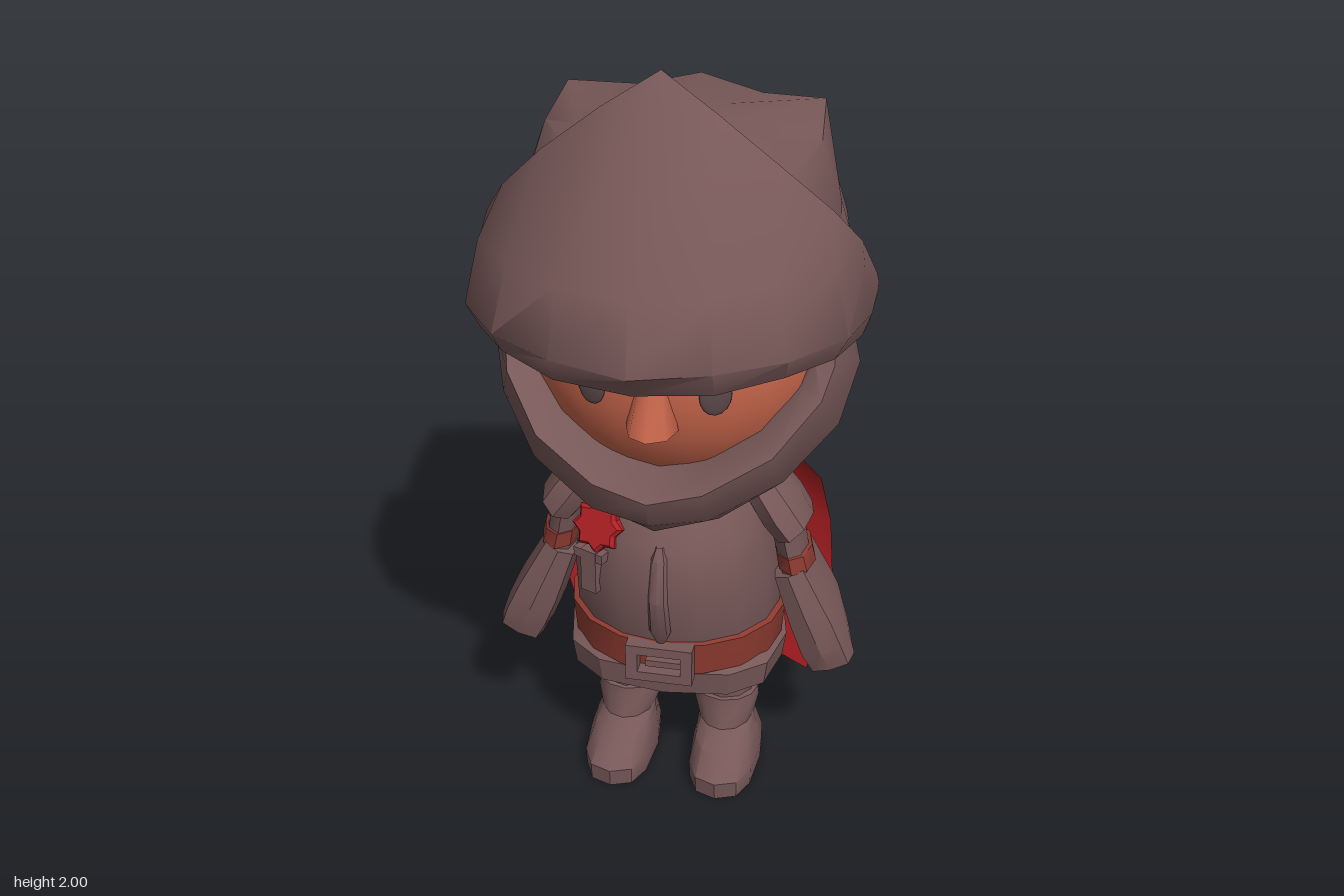
import * as THREE from 'three';
import { toCreasedNormals } from 'three/addons/utils/BufferGeometryUtils.js';

const mat = (name, color, side = THREE.DoubleSide) => {
  const m = new THREE.MeshStandardMaterial({ color, side });
  m.name = name;
  return m;
};

export function createModel() {
  const root = new THREE.Group();
  root.name = 'littleKnight';
  const armour = mat('armour', 0x785858);
  const skin = mat('skin', 0xc8664c);
  const leather = mat('leather', 0x8c3a30);
  const red = mat('red cloth', 0xb01f24);
  const dark = mat('eye', 0x5c484a);

  const add = (name, geo, material, x = 0, y = 0, z = 0) => {
    const m = new THREE.Mesh(geo, material);
    m.name = name;
    m.position.set(x, y, z);
    root.add(m);
    return m;
  };

  // Surface through rows of points, listed from bottom to top
  const grid = (rows, crease = 0.7) => {
    const n = rows[0].length, index = [];
    for (let i = 0; i < rows.length - 1; i++)
      for (let j = 0; j < n - 1; j++) {
        const a = i * n + j, b = a + 1, c = a + n, d = c + 1;
        index.push(a, b, d, a, d, c);
      }
    const g = new THREE.BufferGeometry();
    g.setAttribute('position', new THREE.Float32BufferAttribute(rows.flat(2), 3));
    g.setIndex(index);
    return toCreasedNormals(g, crease);
  };

  // Rings: [y, half width, half depth, x centre, z centre, front half depth, roundness]
  const loft = (rings, n = 16, crease = 0.7) => grid(rings.map(([y, rx, rz, xc = 0, zc = 0, rf = rz, p = 1]) =>
    Array.from({ length: n + 1 }, (_, j) => {
      const a = (j % n) / n * Math.PI * 2, s = Math.sin(a), c = Math.cos(a);
      return [xc + rx * Math.sign(s) * Math.abs(s) ** p, y,
        zc + (c > 0 ? rf : rz) * Math.sign(c) * Math.abs(c) ** p];
    })), crease);

  // Half rows running from the middle to +x, completed by mirroring
  const mirrored = rows => grid(rows.map(r => [...r.slice(1).reverse().map(([x, y, z]) => [-x, y, z]), ...r]), 0.8);

  // Helmet
  add('helmetDome', loft([
    [0.94, 0, 0, 0, -0.12], [0.96, 0.24, 0.2, 0, -0.13, 0.18], [1.04, 0.34, 0.28, 0, -0.14, 0.2],
    [1.22, 0.4, 0.34, 0, -0.14, 0.2], [1.39, 0.405, 0.37, 0, -0.14, 0.2], [1.54, 0.395, 0.345, 0, -0.14, 0.24],
    [1.64, 0.365, 0.31, 0, -0.14, 0.26], [1.74, 0.3, 0.21, 0, -0.12, 0.23], [1.78, 0, 0, 0, -0.05]], 20), armour);

  // Helmet top, rising to a point at the back and at each rear corner
  add('helmetCrown', mirrored([
    [[0, 1.87, 0.08], [0.02, 1.868, 0.08], [0.05, 1.86, 0.09], [0.09, 1.85, 0.1], [0.12, 1.84, 0.11]],
    [[0, 1.84, -0.15], [0.1, 1.825, -0.15], [0.18, 1.815, -0.12], [0.22, 1.81, 0], [0.22, 1.81, 0.12]],
    [[0, 1.815, -0.36], [0.15, 1.775, -0.36], [0.31, 1.8, -0.29], [0.325, 1.765, -0.12], [0.29, 1.77, 0.13]],
    [[0, 1.64, -0.46], [0.18, 1.62, -0.43], [0.335, 1.62, -0.3], [0.375, 1.62, -0.12], [0.35, 1.62, 0.06]],
    [[0, 1.53, -0.475], [0.18, 1.53, -0.43], [0.33, 1.53, -0.29], [0.38, 1.53, -0.12], [0.36, 1.53, 0]]]), armour);

  // Raised visor with a peaked top
  add('visor', mirrored([
    [[0, 1.47, 0.2], [0.12, 1.47, 0.18], [0.24, 1.47, 0.14], [0.32, 1.46, 0.06], [0.38, 1.4, -0.04], [0.4, 1.38, -0.12]],
    [[0, 1.41, 0.43], [0.16, 1.41, 0.39], [0.28, 1.42, 0.31], [0.37, 1.39, 0.17], [0.42, 1.35, 0], [0.42, 1.34, -0.1]],
    [[0, 1.385, 0.46], [0.18, 1.39, 0.43], [0.32, 1.4, 0.34], [0.41, 1.38, 0.2], [0.45, 1.34, 0], [0.455, 1.32, -0.11]],
    [[0, 1.45, 0.51], [0.18, 1.46, 0.47], [0.33, 1.46, 0.38], [0.44, 1.44, 0.21], [0.47, 1.4, 0], [0.47, 1.39, -0.145]],
    [[0, 1.62, 0.475], [0.17, 1.62, 0.44], [0.3, 1.62, 0.345], [0.405, 1.6, 0.2], [0.45, 1.53, 0.03], [0.47, 1.41, -0.14]],
    [[0, 2, 0.12], [0.13, 1.915, 0.14], [0.27, 1.8, 0.13], [0.38, 1.68, 0.07], [0.44, 1.58, 0], [0.465, 1.44, -0.13]],
    [[0, 1.97, 0.06], [0.12, 1.87, 0.08], [0.25, 1.75, 0.1], [0.35, 1.65, 0.03], [0.4, 1.55, -0.04], [0.42, 1.43, -0.14]],
    [[0, 1.84, 0.09], [0.12, 1.8, 0.09], [0.22, 1.72, 0.07], [0.3, 1.63, 0.02], [0.36, 1.54, -0.06], [0.38, 1.43, -0.15]]]), armour);

  // Chin guard with a rolled rim
  add('chinGuard', mirrored([
    [[0, 0.95, 0], [0.12, 0.96, -0.02], [0.2, 0.99, -0.05], [0.3, 1.05, -0.1], [0.38, 1.2, -0.2], [0.38, 1.36, -0.2]],
    [[0, 0.88, 0.22], [0.15, 0.91, 0.18], [0.29, 0.98, 0.08], [0.39, 1.06, -0.04], [0.415, 1.2, -0.13], [0.405, 1.36, -0.14]],
    [[0, 0.94, 0.29], [0.14, 0.96, 0.27], [0.3, 1.03, 0.18], [0.41, 1.12, 0.04], [0.445, 1.25, -0.04], [0.415, 1.37, -0.06]],
    [[0, 1.01, 0.31], [0.13, 1.045, 0.3], [0.28, 1.12, 0.23], [0.375, 1.22, 0.12], [0.395, 1.28, 0.05], [0.39, 1.4, 0.01]],
    [[0, 1.03, 0.25], [0.12, 1.06, 0.23], [0.245, 1.135, 0.17], [0.325, 1.23, 0.08], [0.345, 1.29, 0.04], [0.345, 1.41, 0]],
    [[0, 1.02, 0.1], [0.11, 1.05, 0.08], [0.22, 1.13, 0.06], [0.3, 1.23, 0], [0.32, 1.29, -0.02], [0.32, 1.41, -0.05]]]), armour);

  // Face
  add('face', new THREE.SphereGeometry(1, 24, 16), skin, 0, 1.28, -0.1).scale.set(0.37, 0.38, 0.35);
  add('nose', loft([[1.15, 0, 0, 0, 0.24], [1.175, 0.062, 0.06, 0, 0.235, 0.075],
    [1.3, 0.038, 0.04, 0, 0.225], [1.4, 0.024, 0.02, 0, 0.22]], 8, 1), skin);
  for (const s of [-1, 1]) {
    const eye = add('eye', new THREE.SphereGeometry(1, 14, 8), dark, s * 0.145, 1.27, 0.222);
    eye.scale.set(0.039, 0.053, 0.009);
    eye.rotation.y = s * 0.4;
    const brow = add('eyebrow', new THREE.BoxGeometry(0.15, 0.04, 0.035), skin, s * 0.14, 1.365, 0.21);
    brow.rotation.set(0, s * 0.35, s * 0.1);
  }

  // Collar, tilted up at the back
  add('collar', loft([[-0.06, 0.14, 0.13], [-0.035, 0.26, 0.26], [0, 0.275, 0.285],
    [0.035, 0.25, 0.255], [0.04, 0.1, 0.1]], 14), armour, 0, 0.955, -0.13).rotation.x = 0.12;

  // Body, belt and skirt
  const Z = -0.08, B = -0.095;
  add('torso', loft([[0.38, 0.25, 0.22, 0, B], [0.5, 0.265, 0.24, 0, B], [0.65, 0.265, 0.268, 0, Z],
    [0.78, 0.235, 0.24, 0, Z], [0.87, 0.2, 0.18, 0, Z], [0.94, 0.15, 0.12, 0, Z]], 16), armour);
  add('breastRidge', loft([[0.5, 0.012, 0.01, 0, 0.145], [0.54, 0.028, 0.02, 0, 0.155], [0.65, 0.025, 0.02, 0, 0.182],
    [0.76, 0.02, 0.02, 0, 0.16], [0.79, 0.01, 0.01, 0, 0.15]], 8), armour);
  add('belt', loft([[0.4, 0.25, 0.22, 0, B], [0.4, 0.272, 0.24, 0, B], [0.495, 0.28, 0.25, 0, B],
    [0.505, 0.25, 0.22, 0, B]], 16), leather);
  add('skirt', loft([[0.35, 0, 0, 0, -0.1], [0.32, 0.2, 0.17, 0, -0.1], [0.32, 0.275, 0.22, 0, -0.1, 0.22, 0.75],
    [0.39, 0.285, 0.235, 0, -0.1, 0.23, 0.75], [0.415, 0.25, 0.21, 0, -0.095]], 12, 0.4), armour);

  // Buckle
  const frame = new THREE.Shape([[-0.085, -0.052], [0.085, -0.052], [0.085, 0.052], [-0.085, 0.052]].map(p => new THREE.Vector2(...p)));
  frame.holes.push(new THREE.Path([[-0.055, -0.026], [-0.055, 0.026], [0.055, 0.026], [0.055, -0.026]].map(p => new THREE.Vector2(...p))));
  add('buckle', new THREE.ExtrudeGeometry(frame, { depth: 0.04, bevelEnabled: false }), armour, 0, 0.445, 0.135);
  add('bucklePin', new THREE.BoxGeometry(0.09, 0.018, 0.02), armour, 0.01, 0.445, 0.16);

  // Red rosette with its short ribbon holder
  const star = new THREE.Shape(Array.from({ length: 16 }, (_, i) => {
    const r = i % 2 ? 0.046 : 0.06, a = i / 16 * Math.PI * 2;
    return new THREE.Vector2(Math.cos(a) * r, Math.sin(a) * r);
  }));
  const rosette = add('rosette', new THREE.ExtrudeGeometry(star, { depth: 0.02, bevelSize: 0.008, bevelThickness: 0.01, bevelSegments: 1 }), red, -0.16, 0.795, 0.09);
  rosette.rotation.set(-0.35, -0.3, 0);
  add('rosetteHolder', new THREE.BoxGeometry(0.045, 0.12, 0.03), armour, -0.18, 0.68, 0.12).rotation.y = -0.4;
  add('rosetteBar', new THREE.BoxGeometry(0.085, 0.025, 0.035), armour, -0.18, 0.725, 0.115).rotation.y = -0.4;

  for (const s of [-1, 1]) {
    // Arm
    const guard = add('shoulderGuard', loft([[-0.07, 0.03, 0.06], [-0.09, 0.055, 0.1], [-0.03, 0.06, 0.105],
      [0.05, 0.055, 0.09], [0.09, 0.035, 0.06], [0.1, 0, 0]], 8, 0.5), armour, s * 0.25, 0.835, -0.07);
    guard.rotation.z = s * 0.6;
    add('upperArm', loft([[0.6, 0.04, 0.07, s * 0.312, Z], [0.8, 0.045, 0.085, s * 0.275, -0.07]], 8), armour);
    add('armStrap', loft([[0.635, 0.04, 0.07, s * 0.31, Z], [0.645, 0.05, 0.085, s * 0.306, Z],
      [0.69, 0.048, 0.085, s * 0.297, Z], [0.7, 0.035, 0.07, s * 0.295, Z]], 8), leather);
    const gauntlet = add('gauntlet', loft([[-0.15, 0, 0, 0, 0.03], [-0.15, 0.06, 0.055, 0, 0.03, 0.055, 0.6],
      [-0.09, 0.066, 0.08, 0, 0.02, 0.08, 0.6], [-0.01, 0.064, 0.11, 0, 0, 0.1, 0.6],
      [0.03, 0.06, 0.115, 0, 0, 0.1, 0.6], [0.15, 0.047, 0.11, 0, 0, 0.09, 0.6], [0.14, 0, 0]], 8, 0.5),
      armour, s * 0.355, 0.5, -0.085);
    gauntlet.rotation.z = s * 0.4;
    // Leg
    add('leg', loft([[0.18, 0.07, 0.07, s * 0.13, -0.09], [0.37, 0.085, 0.085, s * 0.13, -0.09]], 10), armour);
    add('legStrap', loft([[0.24, 0.07, 0.07, s * 0.13, -0.09], [0.25, 0.09, 0.085, s * 0.13, -0.09],
      [0.29, 0.092, 0.088, s * 0.13, -0.09], [0.3, 0.07, 0.07, s * 0.13, -0.09]], 10), leather);
    add('boot', loft([[0, 0, 0, s * 0.135, -0.05], [0, 0.09, 0.13, s * 0.14, -0.06, 0.195, 0.75],
      [0.05, 0.092, 0.13, s * 0.14, -0.06, 0.2, 0.75], [0.1, 0.08, 0.11, s * 0.137, -0.07, 0.15, 0.85],
      [0.13, 0.072, 0.09, s * 0.133, -0.085, 0.095], [0.19, 0.088, 0.085, s * 0.13, -0.09],
      [0.215, 0.085, 0.082, s * 0.13, -0.09], [0.22, 0.06, 0.06, s * 0.13, -0.09]], 12), armour);
  }

  // Cape rows: [y, half width, z, forward wrap at the edges], with a ragged hem
  add('cape', grid([[0.1, 0.31, -0.385, 0.02], [0.33, 0.375, -0.39, 0.02], [0.58, 0.36, -0.388, 0.025],
    [0.74, 0.335, -0.355, 0.04], [0.87, 0.27, -0.31, 0.08], [0.95, 0.19, -0.23, 0.07]].map(([y, hw, z, wrap], i) =>
    Array.from({ length: 9 }, (_, j) => {
      const t = 1 - j / 4;
      return [hw * t, y + (i ? 0 : (j % 2 ? 0.015 : 0.025 - 0.045 * t * t)), z + wrap * t * t];
    })), 0.9), red);

  return root;
}
